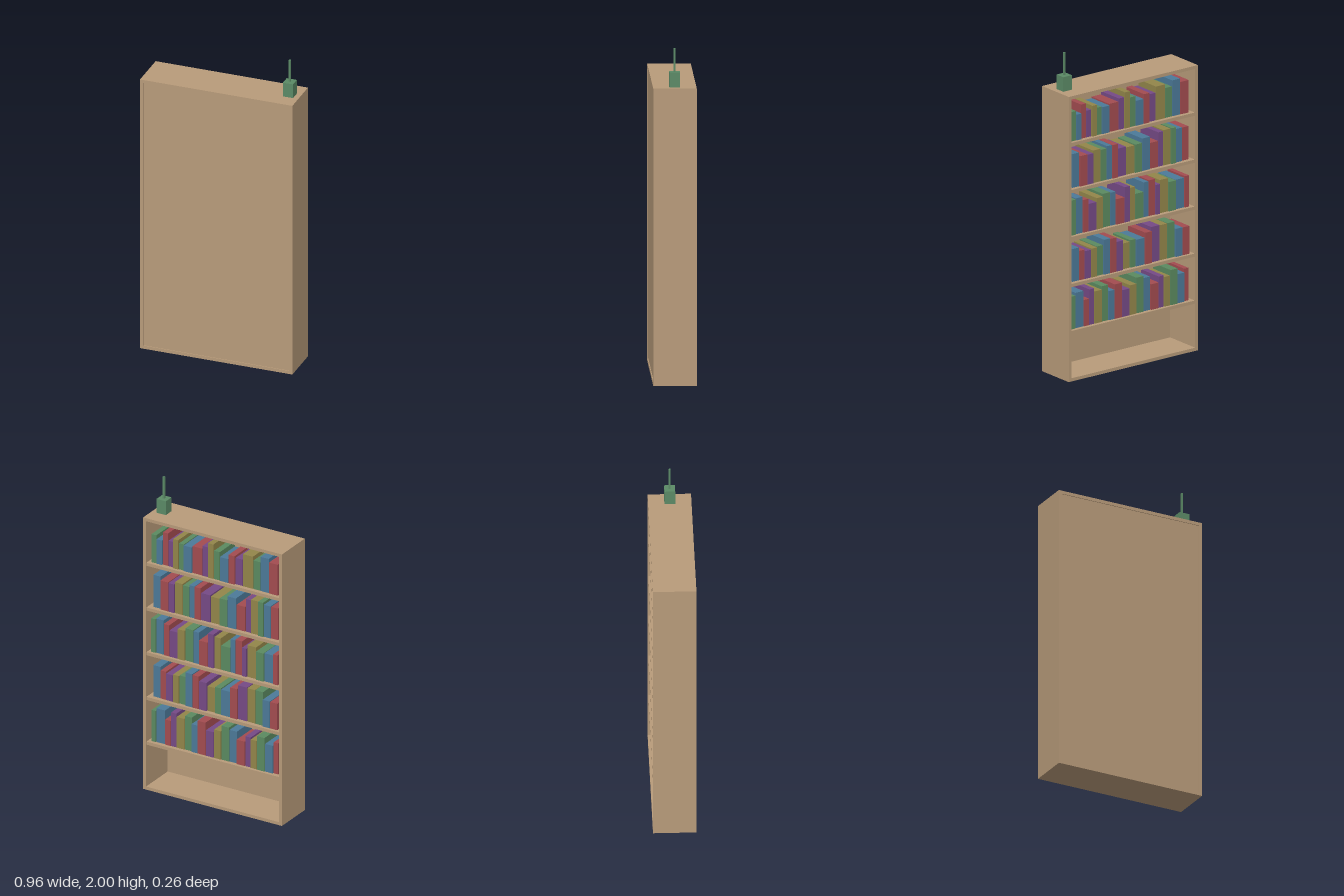
import * as THREE from 'three';

const W = 0.96, H = 1.77, D = 0.256, T = 0.02;
const inner = W - 2 * T;

const mat = (color) => new THREE.MeshStandardMaterial({ color });
const wood = mat(0xb89b7a);
const metal = mat(0x5b8a66);
// green, blue, red, purple, olive: the books repeat in this order
const covers = [0x5b8a60, 0x4c7a99, 0xa34c50, 0x764a86, 0x93864a].map(mat);

// Small seeded generator, 0 to 1
let seed = 7;
function rand() {
  seed = (seed * 16807) % 2147483647;
  return seed / 2147483647;
}

function box(parent, name, material, w, h, d, x, y, z) {
  const mesh = new THREE.Mesh(new THREE.BoxGeometry(w, h, d), material);
  mesh.position.set(x, y, z);
  mesh.name = name;
  parent.add(mesh);
}

// One shelf of books from the +x end to the -x end, with varied widths and heights
function bookRow(firstCover, shelfTop) {
  const group = new THREE.Group();
  group.name = 'bookRow';
  const count = 18 - firstCover;
  const start = 0.44 - 0.01 * firstCover, end = -0.435;
  const widths = Array.from({ length: count }, () => 0.032 + 0.034 * rand());
  const fit = (start - end) / widths.reduce((sum, w) => sum + w, 0);
  let x = start;
  widths.forEach((share, i) => {
    const w = share * fit;
    const h = 0.155 + 0.07 * rand();
    const front = -0.107 + 0.012 * rand(); // spines not quite level
    const depth = 0.17;
    box(group, 'book', covers[(firstCover + i) % covers.length], w - 0.003, h, depth,
      x - w / 2, shelfTop + h / 2, front + depth / 2);
    x -= w;
  });
  return group;
}

export function createModel() {
  seed = 7;
  const model = new THREE.Group();

  // Case: sides, top, bottom and a slightly recessed panel on the +z face
  const bookcase = new THREE.Group();
  bookcase.name = 'bookcase';
  model.add(bookcase);
  for (const s of [-1, 1]) box(bookcase, 'sidePanel', wood, T, H, D, s * (W - T) / 2, H / 2, 0);
  box(bookcase, 'topBoard', wood, inner, T, D, 0, H - T / 2, 0);
  box(bookcase, 'bottomBoard', wood, inner, T, D, 0, T / 2, 0);
  box(bookcase, 'panel', wood, inner, H - 2 * T, 0.01, 0, H / 2, 0.118);

  // Five shelves of books, opening towards -z; the lowest bay stays empty
  const pitch = (H - T) / 6;
  for (let i = 1; i <= 5; i++) {
    const y = T / 2 + pitch * i;
    box(bookcase, 'shelf', wood, inner, T, 0.237, 0, y, -0.0055);
    model.add(bookRow((i + 1) % 2, y + T / 2));
  }

  // Small device with a thin upright rod on top
  const device = new THREE.Group();
  device.name = 'device';
  device.position.set(0.415, H, 0);
  box(device, 'deviceBody', metal, 0.064, 0.09, 0.064, 0, 0.045, 0);
  box(device, 'rod', metal, 0.012, 0.14, 0.012, 0, 0.16, 0);
  model.add(device);

  return model;
}
